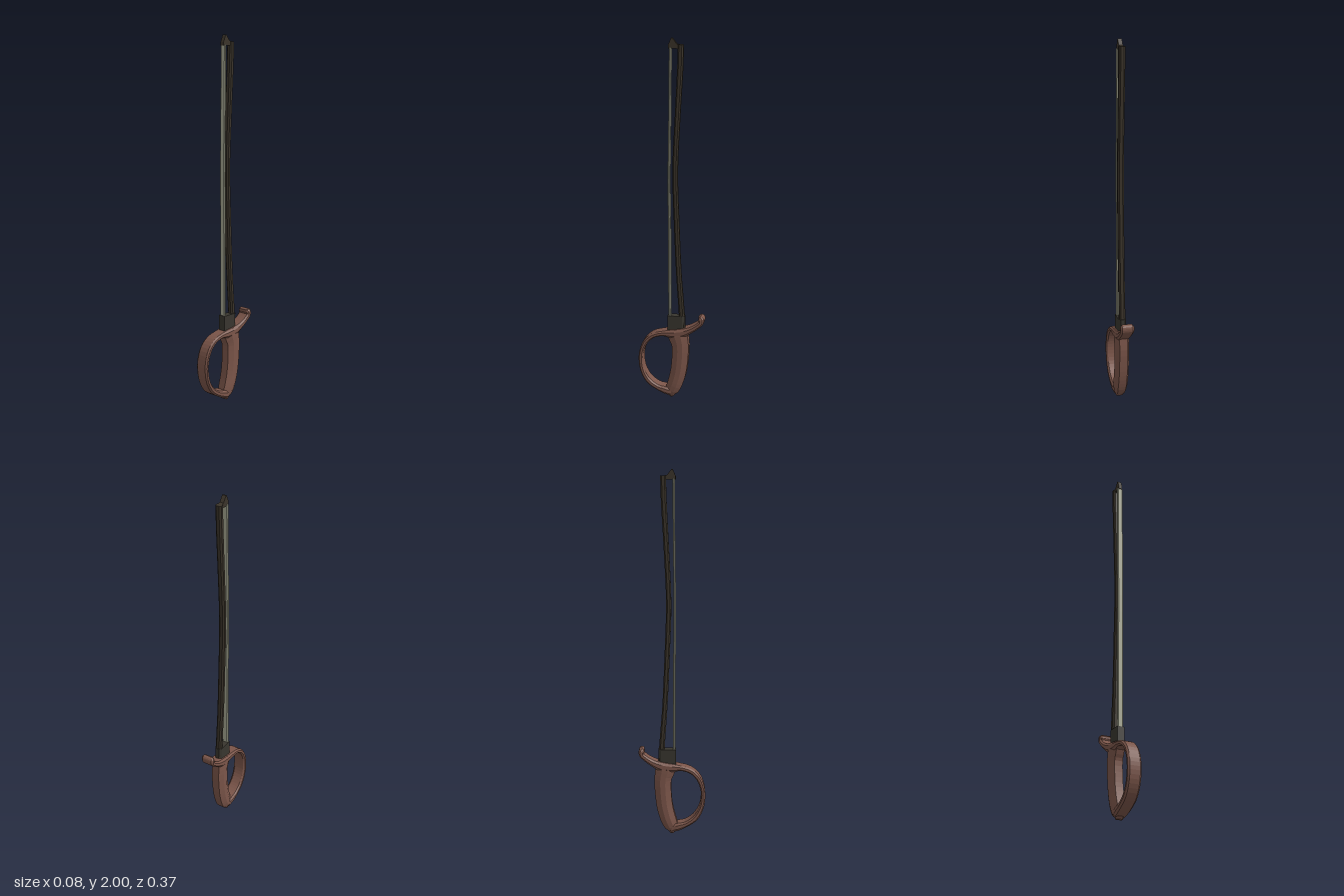
import * as THREE from 'three';

const flat = (name, color) => {
  const m = new THREE.MeshStandardMaterial({ color, flatShading: true });
  m.name = name;
  return m;
};

// Sweeps a chamfered eight-sided section along stations [z, y, halfThickness, halfWidth].
function sweep(stations, segments, flatX, flatN) {
  const path = new THREE.CatmullRomCurve3(stations.map(([z, y]) => new THREE.Vector3(0, y, z)), false, 'centripetal');
  const size = new THREE.CatmullRomCurve3(stations.map(([, , t, w]) => new THREE.Vector3(t, w, 0)), false, 'catmullrom', 0.2);
  const section = [
    [1, -flatN], [1, flatN], [flatX, 1], [-flatX, 1],
    [-1, flatN], [-1, -flatN], [-flatX, -1], [flatX, -1],
  ];
  const pos = [], idx = [];
  for (let s = 0; s <= segments; s++) {
    const u = s / segments, p = path.getPoint(u), d = path.getTangent(u), r = size.getPoint(u);
    for (const [a, b] of section) pos.push(a * r.y, p.y + b * r.x * d.z, p.z - b * r.x * d.y);
  }
  for (let s = 0; s < segments; s++) {
    for (let i = 0; i < 8; i++) {
      const a = s * 8 + i, b = s * 8 + (i + 1) % 8;
      idx.push(a, b, b + 8, a, b + 8, a + 8);
    }
  }
  const e = segments * 8;
  for (let i = 1; i < 7; i++) idx.push(0, i + 1, i, e, e + i, e + i + 1);
  const g = new THREE.BufferGeometry();
  g.setAttribute('position', new THREE.Float32BufferAttribute(pos, 3));
  g.setIndex(idx);
  g.computeVertexNormals();
  return g;
}

export function createModel() {
  const group = new THREE.Group();
  const wood = flat('reddish wood', 0x7c564a);
  const dark = flat('dark stick', 0x3b342a);
  const fitting = flat('dark fitting', 0x39362f);
  const hairColor = flat('pale hair', 0xa9aa94);
  const add = (name, geometry, material) => {
    const mesh = new THREE.Mesh(geometry, material);
    mesh.name = name;
    group.add(mesh);
  };

  // Thumb hook running forward into the finger loop
  const w = 0.038;
  add('hookAndFingerLoop', sweep([
    [-0.158, 0.492, 0.008, 0.028], [-0.166, 0.479, 0.016, w], [-0.167, 0.46, 0.014, w],
    [-0.148, 0.44, 0.014, w], [-0.11, 0.414, 0.017, w], [-0.06, 0.392, 0.025, w],
    [0, 0.384, 0.023, w], [0.05, 0.383, 0.014, w], [0.104, 0.366, 0.013, w],
    [0.145, 0.327, 0.013, w], [0.168, 0.27, 0.012, w], [0.172, 0.21, 0.012, w],
    [0.159, 0.146, 0.013, w], [0.126, 0.092, 0.015, w], [0.08, 0.06, 0.015, w],
    [0.035, 0.044, 0.021, w], [0, 0.034, 0.022, 0.034],
  ], 48, 0.75, 0.45), wood);

  // Faceted grip, tapering to the pommel
  add('grip', sweep([
    [0, 0.003, 0.009, 0.02], [-0.002, 0.038, 0.036, 0.034], [-0.02, 0.085, 0.042, w],
    [-0.038, 0.15, 0.044, w], [-0.048, 0.23, 0.045, w], [-0.05, 0.32, 0.047, w],
    [-0.037, 0.375, 0.055, w], [-0.032, 0.41, 0.05, 0.03],
  ], 20, 0.6, 0.3), wood);

  // Ferrule, square in front and chamfered behind
  const outline = new THREE.Shape([
    [-0.021, -0.022], [0.021, -0.022], [0.021, 0.06], [0.011, 0.075], [-0.011, 0.075], [-0.021, 0.06],
  ].map(([x, y]) => new THREE.Vector2(x, y)));
  const ferrule = new THREE.ExtrudeGeometry(outline, { depth: 0.095, bevelEnabled: false });
  ferrule.rotateX(-Math.PI / 2).translate(0, 0.392, 0);
  add('ferrule', ferrule, fitting);

  // Curved stick
  add('stick', sweep([
    [-0.062, 0.4, 0.016, 0.017], [-0.052, 0.55, 0.015, 0.017], [-0.039, 0.73, 0.014, 0.017],
    [-0.027, 1, 0.014, 0.017], [-0.018, 1.3, 0.014, 0.017], [-0.031, 1.6, 0.014, 0.017],
    [-0.044, 1.85, 0.015, 0.017], [-0.047, 1.966, 0.015, 0.017],
  ], 28, 0.5, 0.5), dark);

  // Hair ribbon, bowing slightly forward
  add('hair', sweep([
    [0.011, 0.45, 0.007, 0.017], [0.012, 0.9, 0.007, 0.017], [0.015, 1.25, 0.006, 0.017],
    [0.011, 1.6, 0.006, 0.017], [0.008, 1.95, 0.006, 0.016],
  ], 14, 0.7, 0.3), hairColor);

  // Pointed tip joining hair and stick
  const wedge = new THREE.Shape([
    [0.05, 1.945], [0.05, 1.965], [0.026, 1.97], [0.003, 2], [-0.003, 2], [-0.019, 1.963], [-0.019, 1.945],
  ].map(([x, y]) => new THREE.Vector2(x, y)));
  const tip = new THREE.ExtrudeGeometry(wedge, { depth: 0.022, bevelEnabled: false });
  tip.translate(0, 0, -0.011).rotateY(Math.PI / 2);
  add('tip', tip, dark);

  return group;
}
